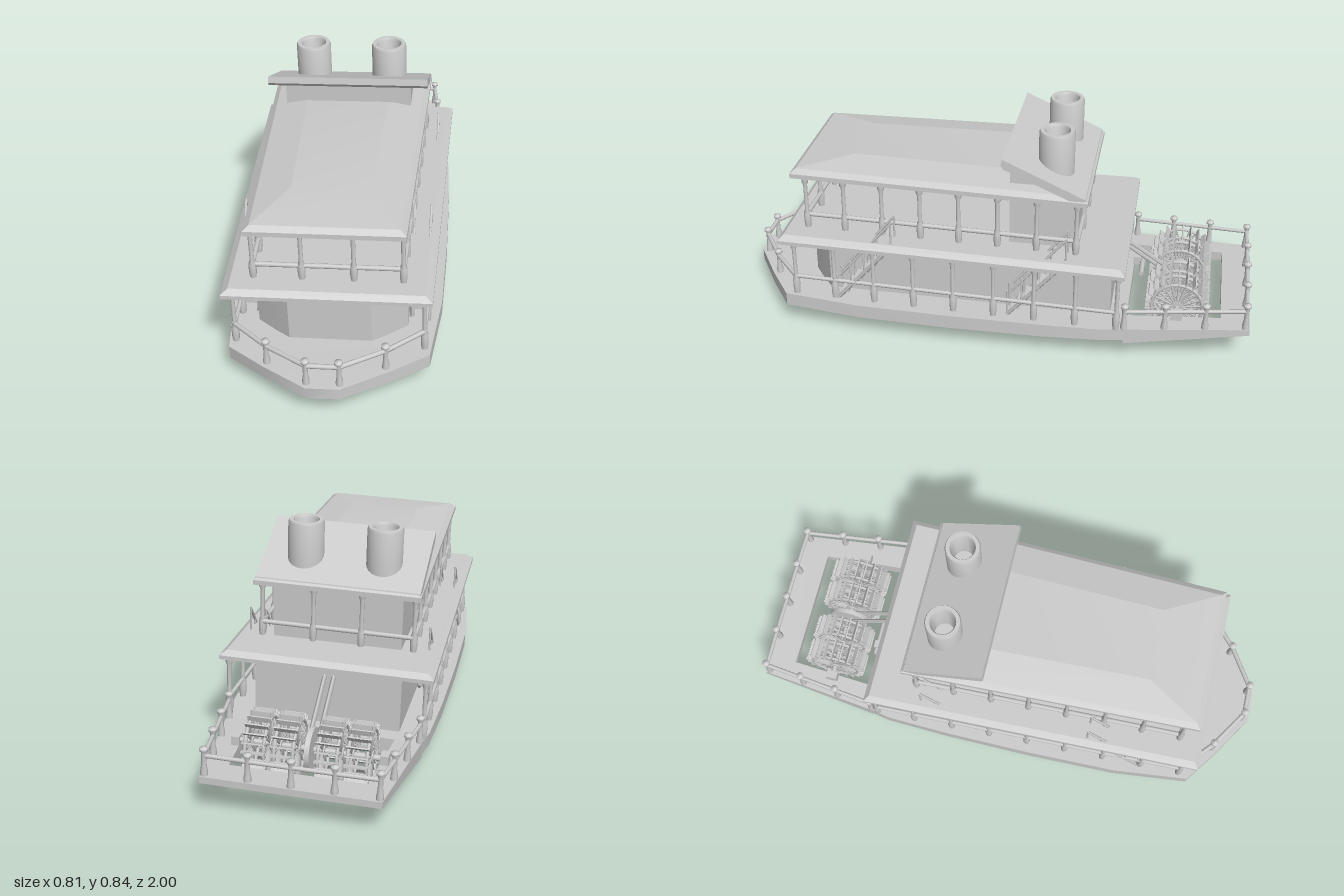
import * as THREE from 'three';
import { toCreasedNormals } from 'three/addons/utils/BufferGeometryUtils.js';

const mat = new THREE.MeshStandardMaterial({ color: 0xcccccc, side: THREE.DoubleSide });
const V = (x, y, z) => new THREE.Vector3(x, y, z);
const lerp = THREE.MathUtils.lerp;

function add(parent, name, geo, x = 0, y = 0, z = 0) {
  const m = new THREE.Mesh(geo, mat);
  m.name = name;
  m.position.set(x, y, z);
  parent.add(m);
  return m;
}
function group(parent, name) {
  const g = new THREE.Group();
  g.name = name;
  parent.add(g);
  return g;
}
// Skin between closed rings of points, capped at both ends
function loft(rings, crease = 0.5) {
  const n = rings[0].length, idx = [], last = (rings.length - 1) * n;
  for (let i = 0; i < rings.length - 1; i++)
    for (let j = 0; j < n; j++) {
      const a = i * n + j, b = i * n + (j + 1) % n;
      idx.push(a, b, b + n, a, b + n, a + n);
    }
  for (let j = 1; j < n - 1; j++) idx.push(0, j + 1, j, last, last + j, last + j + 1);
  const g = new THREE.BufferGeometry().setFromPoints(rings.flat());
  g.setIndex(idx);
  return toCreasedNormals(g, crease);
}
// Horizontal tapered rectangle: half width at front and back, z of front and back
const rect = (y, wf, wb, zf, zb) => [V(-wf, y, zf), V(wf, y, zf), V(wb, y, zb), V(-wb, y, zb)];

function rod(parent, name, a, b, r = 0.008, sides = 8) {
  const m = add(parent, name, new THREE.CylinderGeometry(r, r, a.distanceTo(b), sides));
  m.position.copy(a).lerp(b, 0.5);
  m.quaternion.setFromUnitVectors(V(0, 1, 0), b.clone().sub(a).normalize());
}
function railing(parent, name, pts, r) {
  for (let i = 0; i < pts.length - 1; i++) rod(parent, name, pts[i], pts[i + 1], r);
}
// Turned posts: tall roof posts and short capped rail posts
const turned = (pts) => new THREE.LatheGeometry(pts.map(([r, y]) => new THREE.Vector2(r, y)), 10);
const tallPost = (h) => turned([[0.011, 0], [0.014, h * 0.12], [0.014, h * 0.28], [0.008, h * 0.36],
  [0.008, h * 0.86], [0.013, h * 0.92], [0.013, h]]);
const shortPost = turned([[0.013, 0], [0.013, 0.02], [0.009, 0.045], [0.009, 0.092],
  [0.015, 0.097], [0.015, 0.107], [0, 0.112]]);

function buildHull(root) {
  // z, half width, deck y, chine y, keel y
  const stations = [[-0.53, 0.37, 0.123, 0.075, 0.05], [-0.45, 0.385, 0.123, 0.075, 0.035],
    [-0.2, 0.395, 0.123, 0.07, 0.012], [0.15, 0.398, 0.123, 0.068, 0], [0.5, 0.392, 0.124, 0.07, 0.022],
    [0.8, 0.36, 0.127, 0.075, 0.055], [0.9, 0.22, 0.129, 0.08, 0.07], [1, 0.06, 0.13, 0.087, 0.084]];
  add(root, 'hull', loft(stations.map(([z, w, t, c, k]) => {
    const m = lerp(k, c, 0.42);
    return [V(w, t, z), V(-w, t, z), V(-w, c, z), V(-w / 2, m, z), V(0, k, z), V(w / 2, m, z), V(w, c, z)];
  }), 0.6));

  // Stern frame with the paddle well cut through it
  const s = new THREE.Shape([[-0.37, 0.53], [0.37, 0.53], [0.315, 1], [-0.315, 1]]
    .map(([x, y]) => new THREE.Vector2(x, y)));
  s.holes.push(new THREE.Path([[-0.27, 0.535], [-0.245, 0.89], [0.245, 0.89], [0.27, 0.535]]
    .map(([x, y]) => new THREE.Vector2(x, y))));
  const g = new THREE.ExtrudeGeometry(s, { depth: 1, bevelEnabled: false }).rotateX(-Math.PI / 2);
  const p = g.attributes.position;
  for (let i = 0; i < p.count; i++) {
    const t = (-p.getZ(i) - 0.53) / 0.47;
    p.setY(i, lerp(lerp(0.06, 0.115, t), lerp(0.123, 0.14, t), p.getY(i)));
  }
  g.computeVertexNormals();
  add(root, 'sternFrame', g);
}

function buildCabins(root) {
  const plan = [[-0.15, 0.735], [0.15, 0.735], [0.2, 0.7], [0.275, 0.64], [0.275, -0.47],
    [-0.275, -0.47], [-0.275, 0.64], [-0.2, 0.7]];
  add(root, 'lowerCabin', loft([0.12, 0.36].map((y) => plan.map(([x, z]) => V(x, y, z))), 0.1));
  add(root, 'upperDeck', loft([rect(0.348, 0.345, 0.37, 0.79, -0.5), rect(0.355, 0.37, 0.398, 0.815, -0.525),
    rect(0.37, 0.37, 0.398, 0.815, -0.525), rect(0.388, 0.345, 0.375, 0.795, -0.505)], 0.1));
  add(root, 'upperRoof', loft([rect(0.592, 0.255, 0.29, 0.75, -0.345), rect(0.6, 0.28, 0.315, 0.775, -0.37),
    rect(0.618, 0.28, 0.315, 0.775, -0.37), rect(0.634, 0.258, 0.295, 0.755, -0.35),
    rect(0.657, 0.14, 0.16, 0.55, -0.05)], 0.15));

  // Pilot house rising into the sloped rear roof
  const house = (x) => [V(x, 0.38, -0.07), V(x, 0.38, -0.33), V(x, 0.62, -0.33), V(x, 0.74, -0.07)];
  add(root, 'upperCabin', loft([house(0.245), house(-0.245)].reverse(), 0.1));
  const slab = (x) => [V(x, 0.728, -0.055), V(x, 0.742, -0.045), V(x, 0.768, -0.05),
    V(x, 0.63, -0.36), V(x, 0.612, -0.365), V(x, 0.6, -0.35)].reverse();
  add(root, 'slopedRoof', loft([slab(-0.31), slab(0.31)], 0.3));

  // Open funnels
  const funnel = toCreasedNormals(new THREE.LatheGeometry([[0.068, 0.62], [0.068, 0.82], [0.064, 0.83],
    [0.05, 0.83], [0.045, 0.82], [0.038, 0.7], [0, 0.7]].map(([r, y]) => new THREE.Vector2(r, y)), 24), 0.6);
  for (const s of [-1, 1]) add(root, 'funnel', funnel, s * 0.15, 0, -0.232);
}

function buildPorches(root) {
  // Lower posts along both sides
  const g = group(root, 'lowerPorch'), low = tallPost(0.235);
  const lowX = (z) => lerp(0.368, 0.34, (z + 0.5) / 1.26);
  for (const s of [-1, 1]) {
    for (let i = 0; i < 9; i++) {
      const z = 0.76 - i * 0.1575;
      add(g, 'lowerPost', low, s * lowX(z), 0.12, z);
    }
    rod(g, 'lowerRail', V(s * lowX(0.76), 0.202, 0.76), V(s * lowX(-0.5), 0.195, -0.5));
  }
  // Upper posts and rail on all four sides
  const u = group(root, 'upperPorch'), up = tallPost(0.215);
  const upX = (z) => lerp(0.29, 0.265, (z + 0.33) / 1.05);
  for (const s of [-1, 1]) {
    for (let i = 0; i < 8; i++) {
      const z = 0.72 - i * 0.15;
      add(u, 'upperPost', up, s * upX(z), 0.385, z);
    }
    for (const z of [0.72, -0.335]) add(u, 'upperPost', up, s * 0.092, 0.385, z);
  }
  railing(u, 'upperRail', [V(0.265, 0.443, 0.72), V(0.29, 0.443, -0.335), V(-0.29, 0.443, -0.335),
    V(-0.265, 0.443, 0.72), V(0.265, 0.443, 0.72)], 0.009);

  // Bow and stern railings with short posts
  const b = group(root, 'bowRailing');
  const bow = [V(0.34, 0.12, 0.76), V(0.21, 0.122, 0.875), V(0.058, 0.125, 0.972),
    V(-0.058, 0.125, 0.972), V(-0.21, 0.122, 0.875), V(-0.34, 0.12, 0.76)];
  bow.slice(1, 5).forEach((p) => add(b, 'bowPost', shortPost, p.x, p.y, p.z));
  railing(b, 'bowRail', bow.map((p) => V(p.x, p.y + 0.082, p.z)), 0.009);
  const st = group(root, 'sternRailing'), stern = [];
  for (let i = 0; i < 4; i++) stern.push(V(lerp(0.36, 0.303, i / 3), 0.118 + i * 0.006, -0.53 - i * 0.151));
  stern.push(V(0.15, 0.136, -0.985), V(0, 0.136, -0.985));
  const all = stern.concat(stern.slice(0, -1).reverse().map((p) => V(-p.x, p.y, p.z)));
  all.forEach((p) => add(st, 'sternPost', shortPost, p.x, p.y, p.z));
  railing(st, 'sternRail', all.map((p) => V(p.x, p.y + 0.078, p.z)));
}

function buildStairs(root) {
  for (const s of [-1, 1]) for (const z0 of [0.59, -0.08]) {
    const g = group(root, 'staircase'), run = 0.22, rise = 0.25, n = 8;
    const at = (x, t, h = 0) => V(s * x, 0.125 + rise * t + h, z0 - run * t);
    for (const x of [0.285, 0.345]) {
      rod(g, 'stringer', at(x, 0), at(x, 1), 0.008, 4);
      rod(g, 'handrail', at(x, 0.05, 0.09), at(x, 1, 0.1), 0.005, 6);
      for (let i = 0; i <= 4; i++) rod(g, 'baluster', at(x, i / 4), at(x, i / 4, 0.105), 0.004, 6);
    }
    for (let i = 1; i < n; i++) {
      const p = at(0.315, i / n);
      add(g, 'tread', new THREE.BoxGeometry(0.065, 0.009, 0.032), p.x, p.y, p.z);
    }
  }
}

function buildPaddles(root) {
  const g = group(root, 'paddleWheels');
  g.position.set(0, 0.145, -0.722);
  rod(g, 'axle', V(-0.285, 0, 0), V(0.285, 0, 0), 0.011);
  const rim = new THREE.TorusGeometry(0.098, 0.007, 6, 28).rotateY(Math.PI / 2);
  const hub = new THREE.CylinderGeometry(0.024, 0.024, 0.014, 12).rotateZ(Math.PI / 2);
  for (const x of [-0.188, -0.083, 0.073, 0.178]) {
    const w = group(g, 'paddleWheel'), n = 22;
    w.position.x = x;
    for (const e of [-0.034, 0.034]) {
      add(w, 'rim', rim, e);
      add(w, 'hub', hub, e);
      for (let i = 0; i < n; i++) {
        const a = i / n * Math.PI * 2, c = Math.cos(a), s = Math.sin(a);
        rod(w, 'spoke', V(e, c * 0.015, s * 0.015), V(e, c * 0.124, s * 0.124), 0.0035, 5);
        if (e > 0) {
          const paddle = add(w, 'paddle', new THREE.BoxGeometry(0.084, 0.022, 0.005), 0, c * 0.112, s * 0.112);
          paddle.rotation.x = a;
        }
      }
    }
  }
  // Drive gear, cranks and bearings
  add(g, 'driveGear', new THREE.CylinderGeometry(0.08, 0.08, 0.018, 20).rotateZ(Math.PI / 2), -0.005);
  for (const x of [-0.022, 0.012]) rod(g, 'driveRod', V(x, 0, 0), V(x, 0.17, 0.26), 0.009, 4);
  rod(g, 'crankShaft', V(-0.14, 0.01, 0.152), V(0.01, 0.01, 0.152), 0.01);
  add(g, 'crankBlock', new THREE.BoxGeometry(0.03, 0.035, 0.05), -0.1, 0.01, 0.165);
  for (const s of [-1, 1]) add(g, 'bearing', new THREE.BoxGeometry(0.03, 0.05, 0.045), s * 0.27, -0.005, 0);
}

export function createModel() {
  const model = new THREE.Group();
  model.name = 'paddleSteamer';
  for (const build of [buildHull, buildCabins, buildPorches, buildStairs, buildPaddles]) build(model);
  // The boat lists slightly to its right
  model.rotation.set(0, 0.008, 0.032);
  return model;
}
